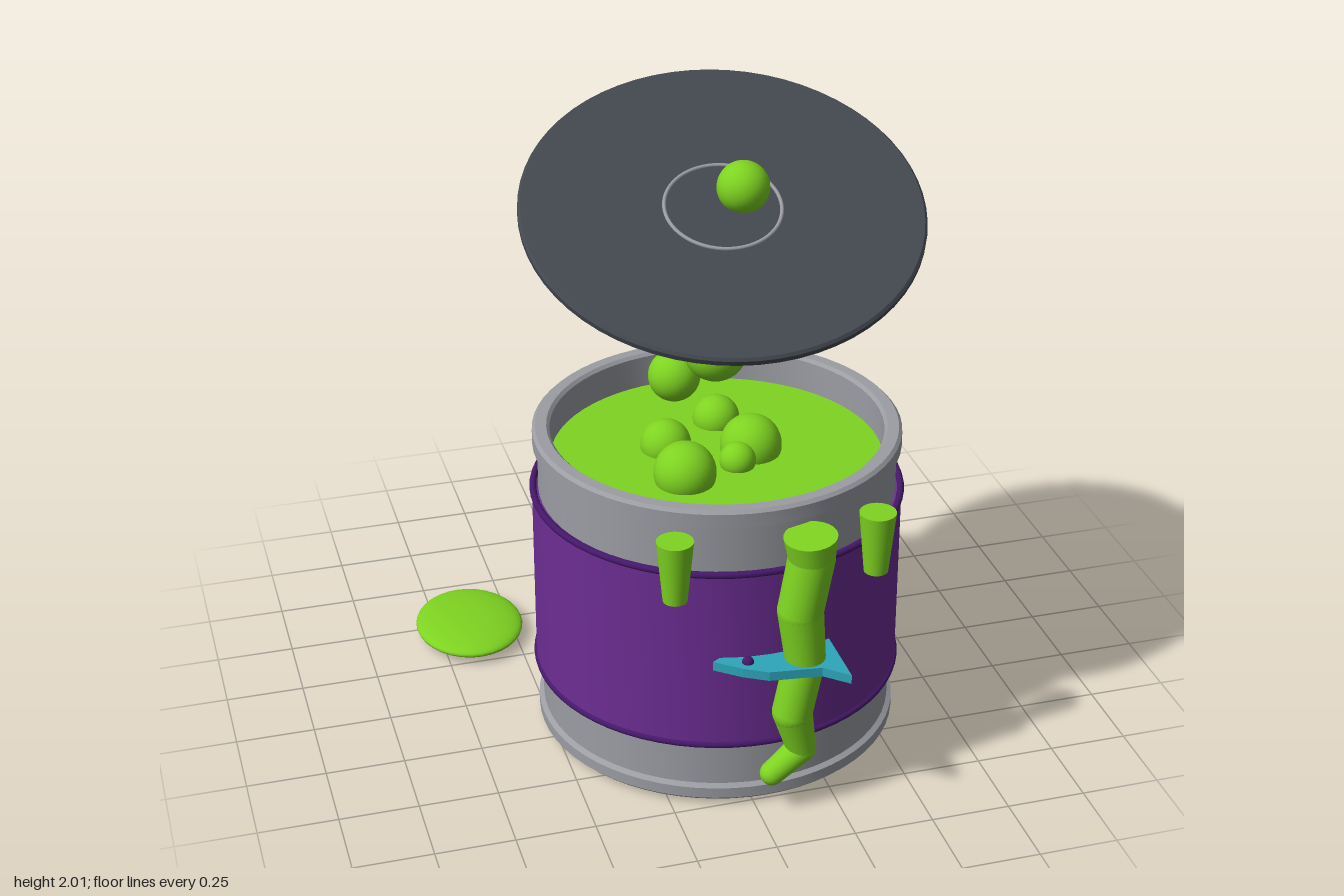
import * as THREE from 'three';
import { toCreasedNormals } from 'three/addons/utils/BufferGeometryUtils.js';

const mat = (name, color) => {
  const m = new THREE.MeshStandardMaterial({ color });
  m.name = name;
  return m;
};

export function createModel() {
  const steel = mat('steel', 0x9b9da3);
  const slime = mat('slime green', 0x7ed321);
  const purple = mat('label purple', 0x6c2d93);
  const darkPurple = mat('dark purple', 0x45186a);
  const charcoal = mat('charcoal', 0x434850);
  const teal = mat('teal', 0x2ea6ba);

  const model = new THREE.Group();
  const add = (name, geometry, material, x = 0, y = 0, z = 0, parent = model) => {
    const mesh = new THREE.Mesh(geometry, material);
    mesh.name = name;
    mesh.position.set(x, y, z);
    parent.add(mesh);
    return mesh;
  };
  const lathe = (points) => toCreasedNormals(
    new THREE.LatheGeometry(points.map(([r, y]) => new THREE.Vector2(r, y)), 64), 0.5);
  const ball = (name, r, x, y, z, parent, material = slime) =>
    add(name, new THREE.SphereGeometry(r, 32, 20), material, x, y, z, parent);

  // Open can: floor, rolled rims, straight wall and hollow inside
  const can = new THREE.Group();
  can.name = 'can';
  can.position.set(0.045, 0, 0.19);
  model.add(can);
  add('canBody', lathe([
    [0, 0.02], [0.565, 0.02], [0.575, 0.03], [0.575, 0.065], [0.56, 0.075],
    [0.56, 0.985], [0.575, 0.99], [0.575, 1.035], [0.565, 1.045],
    [0.53, 1.045], [0.52, 1.035], [0.52, 0.9], [0, 0.9],
  ]), steel, 0, 0, 0, can);

  // Wrapped label with a dark bead on each edge
  add('label', lathe([[0.555, 0.228], [0.58, 0.228], [0.58, 0.832], [0.555, 0.832]]),
    purple, 0, 0, 0, can);
  for (const y of [0.23, 0.832]) {
    add('labelEdge', new THREE.TorusGeometry(0.577, 0.011, 10, 64), darkPurple, 0, y, 0, can)
      .rotation.x = Math.PI / 2;
  }

  // Slime surface with bubbles: [radius, x, y, z]
  add('slimeSurface', new THREE.CircleGeometry(0.525, 64), slime, 0, 0.93, 0, can)
    .rotation.x = -Math.PI / 2;
  for (const [r, x, y, z] of [
    [0.097, -0.144, 0.96, 0.144], [0.08, -0.144, 0.945, -0.077], [0.075, 0.06, 0.942, -0.21],
    [0.097, 0.107, 0.954, 0.014], [0.057, 0.04, 0.95, 0.093],
  ]) ball('bubble', r, x, y, z, can);

  // Tilted lid with an inset ring
  const lid = new THREE.Group();
  lid.name = 'lid';
  lid.position.set(0.045, 1.767, 0.235);
  lid.rotation.set(0.385, 0, 0.05);
  model.add(lid);
  add('lidDisc', lathe([
    [0, -0.03], [0.55, -0.03], [0.565, -0.015], [0.6, -0.012],
    [0.608, -0.004], [0.608, 0.012], [0.6, 0.02], [0, 0.02],
  ]), charcoal, 0, 0, 0, lid);
  add('lidRing', new THREE.TorusGeometry(0.175, 0.006, 8, 64), steel, 0, 0.02, 0, lid)
    .rotation.x = Math.PI / 2;

  // Flying blobs
  for (const [r, x, y, z] of [
    [0.08, 0.11, 1.835, 0.23], [0.073, 0.13, 1.57, 0.147],
    [0.098, 0.012, 1.338, 0.28], [0.081, -0.085, 1.207, 0.163],
  ]) ball('blob', r, x, y, z);

  // Short drips on the front
  for (const x of [-0.25, 0.375]) {
    add('shortDrip', new THREE.CylinderGeometry(0.056, 0.037, 0.2, 24), slime, x, 0.877, 0.757);
  }

  // Long winding drip made of tapered links: [x, y, z, radius]
  const path = [
    [0.147, 0.962, 0.812, 0.081], [0.153, 0.89, 0.81, 0.071], [0.122, 0.71, 0.808, 0.07],
    [0.14, 0.54, 0.81, 0.062], [0.103, 0.355, 0.81, 0.062], [0.135, 0.215, 0.808, 0.045],
    [0.043, 0.138, 0.808, 0.038],
  ];
  const drip = new THREE.Group();
  drip.name = 'longDrip';
  model.add(drip);
  const up = new THREE.Vector3(0, 1, 0);
  for (let i = 1; i < path.length; i++) {
    const a = new THREE.Vector3(...path[i - 1]);
    const b = new THREE.Vector3(...path[i]);
    const mid = a.clone().add(b).multiplyScalar(0.5);
    const dir = a.clone().sub(b);
    const link = add('dripLink', new THREE.CylinderGeometry(path[i - 1][3], path[i][3], dir.length(), 24),
      slime, mid.x, mid.y, mid.z, drip);
    link.quaternion.setFromUnitVectors(up, dir.normalize());
    ball('dripJoint', path[i][3], b.x, b.y, b.z, drip);
  }

  // Flat fish lying level, half sunk into the can, with a small eye
  const outline = [[-0.135, 0.765], [-0.06, 0.825], [0.01, 0.865], [0.17, 0.885],
    [0.24, 0.947], [0.24, 0.66], [0.0, 0.68]];
  const shape = new THREE.Shape(outline.map(([x, z]) => new THREE.Vector2(x, -z)));
  add('fish', new THREE.ExtrudeGeometry(shape, { depth: 0.03, bevelEnabled: false }), teal, 0, 0.516, 0)
    .rotation.x = -Math.PI / 2;
  ball('fishEye', 0.018, -0.035, 0.547, 0.795, model, darkPurple);

  // Puddles behind the can: [x, z, half width, half height, half depth]
  for (const [x, z, rx, ry, rz] of [
    [-0.648, -0.438, 0.18, 0.037, 0.215], [0.08, -0.718, 0.195, 0.039, 0.235],
    [-0.035, -0.627, 0.132, 0.034, 0.145], [0.607, -0.505, 0.212, 0.038, 0.255],
  ]) ball('puddle', 1, x, 0.045, z).scale.set(rx, ry, rz);

  return model;
}
